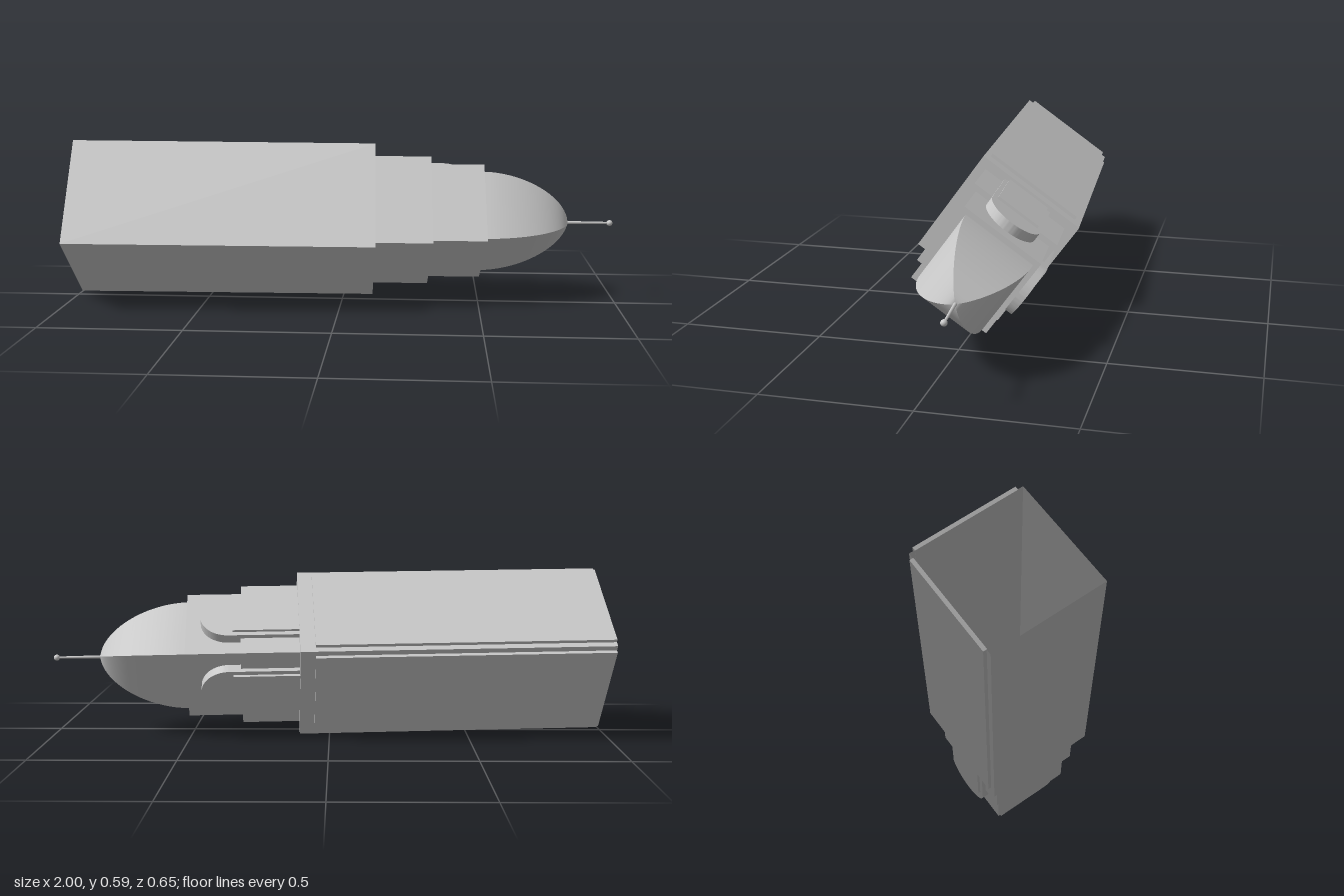
import * as THREE from 'three';
import { toCreasedNormals } from 'three/addons/utils/BufferGeometryUtils.js';

export function createModel() {
  const stone = new THREE.MeshStandardMaterial({ color: 0xc8c8c8, side: THREE.DoubleSide });
  stone.name = 'paleGrey';
  const model = new THREE.Group();
  model.name = 'towerModel';

  // The tower is built upright in this group, then laid on its side
  const tower = new THREE.Group();
  tower.name = 'tower';
  model.add(tower);

  const add = (parent, name, geometry) => {
    const mesh = new THREE.Mesh(geometry, stone);
    mesh.name = name;
    parent.add(mesh);
    return mesh;
  };

  // Square solid from a profile of [half width, height]; open underneath
  const square = (profile) => toCreasedNormals(
    new THREE.LatheGeometry(
      profile.map(([w, y]) => new THREE.Vector2(w * Math.SQRT2, y)), 4, Math.PI / 4),
    0.4);

  // Stepped body, each tier narrower than the last
  const tiers = [
    ['mainShaft', 0.208, 0, 1.098],
    ['middleTier', 0.175, 1.098, 1.303],
    ['upperTier', 0.155, 1.303, 1.497],
  ];
  for (const [name, w, y0, y1] of tiers) {
    add(tower, name, square([[w, y0], [w, y1], [0, y1]]));
  }

  // Curved four-sided roof
  const roof = [];
  const steps = 20;
  for (let i = 0; i <= steps; i++) {
    const t = Math.sin((i / steps) * Math.PI / 2);
    roof.push([0.136 * Math.pow(Math.max(0, 1 - Math.pow(t, 1.8)), 0.57), 1.497 + 0.318 * t]);
  }
  add(tower, 'curvedRoof', square(roof));

  // Spire rod and ball
  add(tower, 'spireRod', new THREE.CylinderGeometry(0.004, 0.006, 0.17, 12)).position.y = 1.885;
  add(tower, 'spireBall', new THREE.SphereGeometry(0.011, 16, 12)).position.y = 1.971;

  // Round-topped surround
  const arch = new THREE.Shape();
  arch.moveTo(-0.1, 1.09);
  arch.lineTo(0.1, 1.09);
  arch.lineTo(0.1, 1.345);
  arch.absarc(0, 1.345, 0.1, 0, Math.PI, false);
  arch.closePath();
  const archGeometry = toCreasedNormals(
    new THREE.ExtrudeGeometry(arch, { depth: 0.04, bevelEnabled: false, curveSegments: 24 }), 0.5);

  // Two adjacent sides carry a long panel, an arch and its inner panel
  for (const [name, angle] of [['firstFacade', 0], ['secondFacade', Math.PI / 2]]) {
    const facade = new THREE.Group();
    facade.name = name;
    facade.rotation.y = angle;
    tower.add(facade);
    add(facade, 'longPanel', new THREE.BoxGeometry(0.376, 1.045, 0.014))
      .position.set(0, 0.5225, 0.213);
    add(facade, 'archSurround', archGeometry).position.z = 0.15;
    add(facade, 'archPanel', new THREE.BoxGeometry(0.168, 0.24, 0.012))
      .position.set(0, 1.21, 0.193);
  }

  // Lay the tower along x with its slight tilt and roll
  const up = new THREE.Vector3(1, -0.0105, -0.0667).normalize();
  const side = new THREE.Vector3(0, 0.809, -0.587);
  side.addScaledVector(up, -side.dot(up)).normalize();
  const facing = new THREE.Vector3().crossVectors(side, up);
  tower.quaternion.setFromRotationMatrix(new THREE.Matrix4().makeBasis(side, up, facing));
  tower.position.set(-0.981, 0.304, 0.038);

  return model;
}
